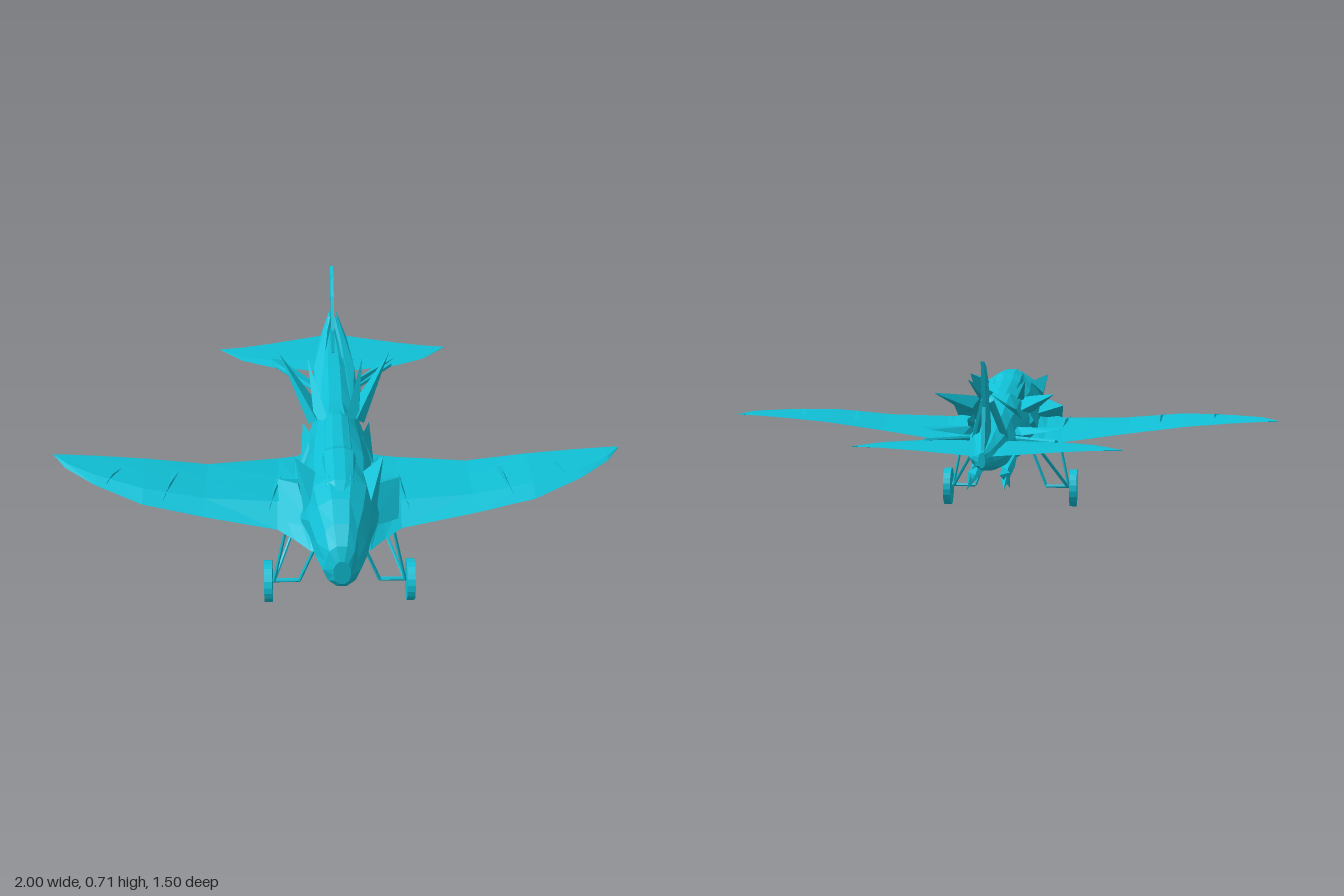
import * as THREE from 'three';
import { ConvexGeometry } from 'three/addons/geometries/ConvexGeometry.js';

const paint = new THREE.MeshStandardMaterial({ color: 0x10c0d6, flatShading: true, side: THREE.DoubleSide });
const V = (x, y, z) => new THREE.Vector3(x, y, z);

// Skin closed rings of points, cap both ends, and turn all faces outwards
function loft(rings) {
  const n = rings[0].length, tris = [];
  for (let i = 0; i + 1 < rings.length; i++) {
    for (let j = 0; j < n; j++) {
      const a = rings[i][j], b = rings[i][(j + 1) % n];
      const c = rings[i + 1][(j + 1) % n], d = rings[i + 1][j];
      tris.push([a, b, c], [a, c, d]);
    }
  }
  const last = rings[rings.length - 1];
  for (let j = 1; j + 1 < n; j++) {
    tris.push([rings[0][0], rings[0][j + 1], rings[0][j]], [last[0], last[j], last[j + 1]]);
  }
  const volume = tris.reduce((v, [a, b, c]) => v + a.dot(V().crossVectors(b, c)), 0);
  if (volume < 0) tris.forEach((t) => t.reverse());
  const geometry = new THREE.BufferGeometry().setFromPoints(tris.flat());
  geometry.computeVertexNormals();
  return geometry;
}

// Wing-like surface; sections: [x, leading z, trailing z, edge y, bottom y, top y]
function airfoil(sections, s) {
  return loft(sections.map(([x, lead, trail, edge, bottom, top]) => {
    const at = (t) => lead + (trail - lead) * t;
    return [V(s * x, edge, lead), V(s * x, top, at(0.25)), V(s * x, (top + edge) / 2, at(0.65)),
      V(s * x, edge, trail), V(s * x, (bottom + edge) / 2, at(0.65)), V(s * x, bottom, at(0.25))];
  }));
}

// Faceted blade: convex solid around a few points [x, y, z]
const blade = (points, s) => new ConvexGeometry(points.map(([x, y, z]) => V(s * x, y, z)));

// Straight bar between two points
function bar(a, b, r, s = 1) {
  const p = V(s * a[0], a[1], a[2]), q = V(s * b[0], b[1], b[2]);
  const dir = q.clone().sub(p);
  const g = new THREE.CylinderGeometry(r, r, dir.length(), 6);
  g.applyQuaternion(new THREE.Quaternion().setFromUnitVectors(V(0, 1, 0), dir.clone().normalize()));
  return g.translate(...p.add(q).multiplyScalar(0.5).toArray());
}

export function createModel() {
  const model = new THREE.Group();
  model.name = 'aeroplane';
  const add = (name, geometry) => {
    const mesh = new THREE.Mesh(geometry, paint);
    mesh.name = name;
    model.add(mesh);
  };

  // Fuselage: [z, half width, bottom, top]
  const stations = [
    [0.752, 0.03, 0.3, 0.39], [0.73, 0.06, 0.275, 0.435], [0.67, 0.085, 0.267, 0.48], [0.58, 0.11, 0.262, 0.515],
    [0.48, 0.13, 0.25, 0.53], [0.4, 0.13, 0.23, 0.525], [0.28, 0.125, 0.232, 0.515], [0.15, 0.115, 0.238, 0.51],
    [0.03, 0.1, 0.26, 0.505], [-0.08, 0.085, 0.295, 0.485], [-0.22, 0.078, 0.305, 0.475], [-0.36, 0.08, 0.315, 0.47],
    [-0.48, 0.072, 0.325, 0.455], [-0.6, 0.05, 0.345, 0.44], [-0.7, 0.03, 0.37, 0.432], [-0.752, 0.012, 0.382, 0.43]];
  // Section outline: [fraction of width, fraction of height]
  const outline = [[0.3, 0], [0.75, 0.15], [1, 0.42], [0.92, 0.66], [0.66, 0.88], [0.28, 1]];
  const ring = [...outline, ...outline.map(([x, y]) => [-x, y]).reverse()];
  add('fuselage', loft(stations.map(([z, w, low, high], i) => ring.map(([x, y], j) => {
    const crumple = 1 + 0.06 * Math.sin(i * 4.1 + Math.min(j, 11 - j) * 2.3);
    return V(x * w * crumple, low + y * (high - low), z);
  }))));

  // Cockpit roof along the spine
  add('canopy', loft([[0.56, 0.02, 0.515], [0.5, 0.045, 0.535], [0.32, 0.05, 0.542], [0.28, 0.045, 0.525],
    [0.06, 0.04, 0.515], [-0.08, 0.02, 0.48]].map(([z, w, top]) =>
    [V(-w * 1.4, 0.46, z), V(-w, top - 0.012, z), V(-w * 0.4, top, z), V(w * 0.4, top, z), V(w, top - 0.012, z), V(w * 1.4, 0.46, z)])));

  // Vertical fin
  const fin = new THREE.Shape([[0.48, 0.4], [0.485, 0.46], [0.51, 0.54], [0.59, 0.645], [0.65, 0.69], [0.713, 0.714],
    [0.678, 0.565], [0.715, 0.43], [0.7, 0.39]].map(([x, y]) => new THREE.Vector2(x, y)));
  add('fin', new THREE.ExtrudeGeometry(fin, { depth: 0.012, bevelEnabled: false }).translate(0, 0, -0.006).rotateY(Math.PI / 2));

  for (const s of [1, -1]) {
    const side = s > 0 ? 'left' : 'right';
    const part = (name, geometry) => add(side + name, geometry);

    part('Wing', airfoil([
      [0, 0.64, -0.02, 0.33, 0.24, 0.42], [0.1, 0.6, 0.005, 0.32, 0.25, 0.4], [0.15, 0.54, 0.03, 0.32, 0.262, 0.375],
      [0.21, 0.485, 0.05, 0.325, 0.275, 0.365], [0.46, 0.44, 0.118, 0.35, 0.325, 0.372],
      [0.67, 0.4, 0.12, 0.378, 0.36, 0.395], [0.84, 0.3, 0.12, 0.393, 0.383, 0.403],
      [0.95, 0.205, 0.12, 0.4, 0.395, 0.407], [1, 0.125, 0.119, 0.402, 0.4, 0.404]], s));

    // Raised creases on the wing skin
    for (const [x, z0, z1, y] of [[0.24, 0.43, 0.2, 0.362], [0.6, 0.39, 0.2, 0.383], [0.8, 0.31, 0.2, 0.398]]) {
      part('WingCrease', blade([[x, y, z0], [x - 0.045, y - 0.005, z1], [x - 0.025, y - 0.005, z1], [x - 0.02, y + 0.008, (z0 + z1) / 2]], s));
    }

    part('Tailplane', airfoil([
      [0, -0.38, -0.71, 0.41, 0.4, 0.42], [0.06, -0.42, -0.695, 0.412, 0.402, 0.422], [0.24, -0.45, -0.635, 0.415, 0.409, 0.42],
      [0.35, -0.5, -0.605, 0.416, 0.412, 0.419], [0.44, -0.588, -0.592, 0.416, 0.414, 0.417]], s));

    // Swept spikes behind the cockpit
    part('BackSpike', blade([[0.07, 0.49, 0.06], [0.1, 0.44, 0], [0.08, 0.47, -0.13], [0.13, 0.47, -0.13],
      [0.15, 0.53, -0.16], [0.205, 0.555, -0.31]], s));
    part('UpperSpike', blade([[0.03, 0.5, 0.08], [0.08, 0.48, 0.03], [0.06, 0.5, -0.04], [0.09, 0.54, -0.1], [0.1, 0.588, -0.21]], s));
    part('ShoulderSpike', blade([[0.1, 0.49, 0.56], [0.12, 0.42, 0.52], [0.08, 0.5, 0.4], [0.13, 0.46, 0.38], [0.15, 0.535, 0.36]], s));
    part('RootSpike', blade([[0.1, 0.37, 0.54], [0.2, 0.34, 0.45], [0.14, 0.44, 0.38], [0.1, 0.39, 0.28], [0.21, 0.42, 0.32]], s));
    part('RearRootSpike', blade([[0.08, 0.36, 0.16], [0.13, 0.35, 0.12], [0.09, 0.44, 0.08], [0.12, 0.42, -0.04]], s));

    // Braces rising to the fin
    part('TailBrace', blade([[0.06, 0.45, -0.05], [0.085, 0.43, -0.1], [0.05, 0.49, -0.2], [0.075, 0.5, -0.3],
      [0.035, 0.555, -0.48], [0.05, 0.54, -0.46], [0.012, 0.592, -0.575]], s));
    part('FinBrace', bar([0.05, 0.43, -0.45], [0.01, 0.57, -0.56], 0.012, s));
    part('TailSpike', blade([[0.06, 0.41, -0.28], [0.08, 0.44, -0.3], [0.1, 0.42, -0.36], [0.24, 0.46, -0.44], [0.2, 0.45, -0.445]], s));
    part('TailplaneBrace', bar([0.07, 0.4, -0.3], [0.22, 0.415, -0.46], 0.009, s));

    // Blades under the tail
    part('KeelBlade', blade([[0.03, 0.33, 0], [0.07, 0.33, -0.1], [0.02, 0.3, -0.15], [0.075, 0.31, -0.35],
      [0.03, 0.3, -0.4], [0.06, 0.325, -0.45], [0.06, 0.287, -0.64]], s));
    part('KeelSpike', blade([[0.04, 0.33, -0.44], [0.07, 0.32, -0.5], [0.04, 0.32, -0.55], [0.07, 0.268, -0.5]], s));

    // Landing gear
    part('Wheel', new THREE.CylinderGeometry(0.073, 0.073, 0.028, 20).rotateZ(Math.PI / 2).translate(s * 0.247, 0.075, 0.444));
    part('Axle', bar([0.14, 0.08, 0.447], [0.247, 0.08, 0.447], 0.007, s));
    part('OuterStrut', bar([0.228, 0.08, 0.45], [0.185, 0.29, 0.45], 0.006, s));
    part('InnerStrut', bar([0.14, 0.08, 0.45], [0.07, 0.26, 0.45], 0.006, s));
    part('RearStrut', bar([0.225, 0.08, 0.44], [0.125, 0.26, 0.25], 0.006, s));
  }
  return model;
}
